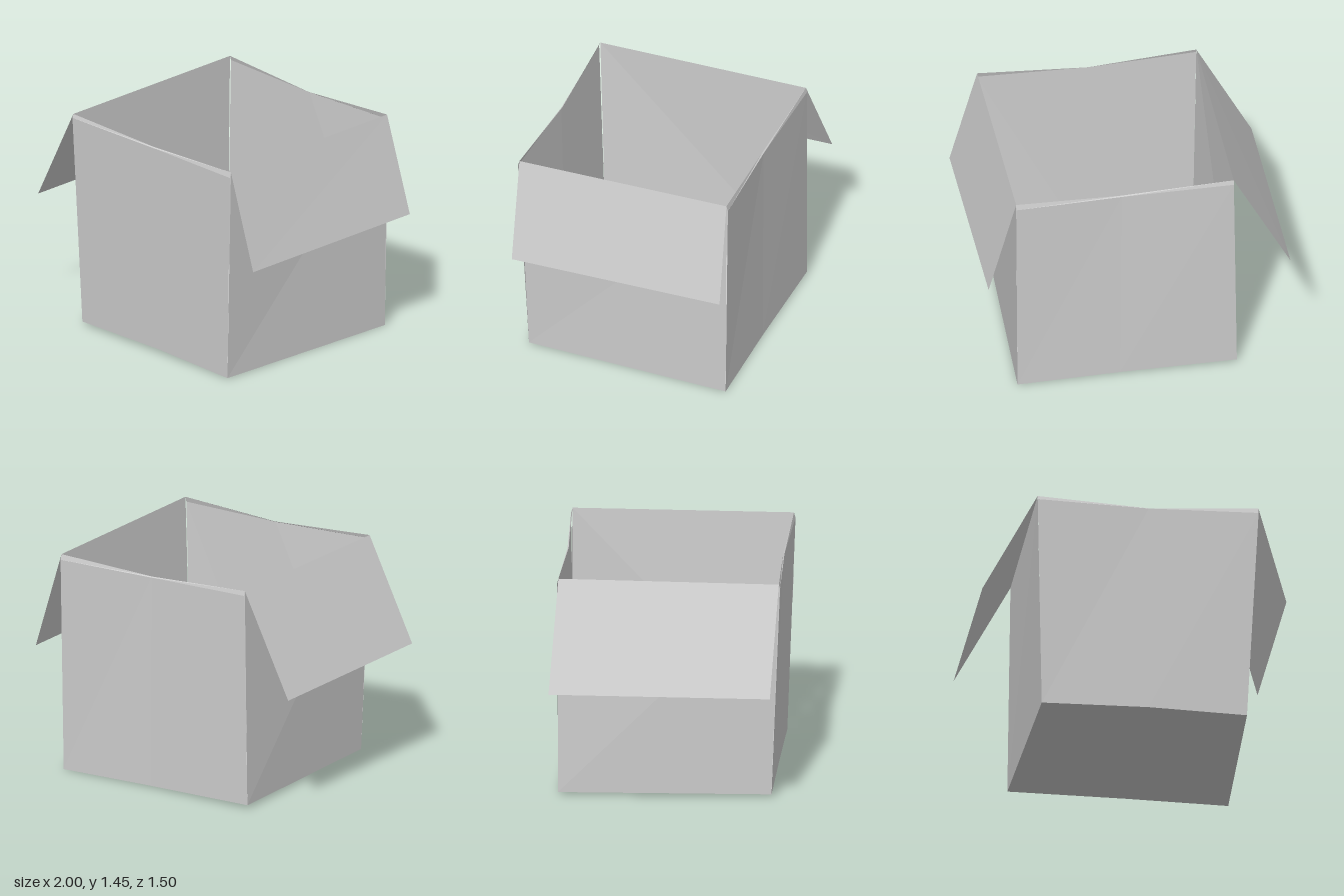
import * as THREE from 'three';

const cardboard = new THREE.MeshStandardMaterial({ color: 0xcccccc, side: THREE.DoubleSide, flatShading: true });
cardboard.name = 'grey cardboard';

// A folded sheet: rows run bottom to top, points left to right seen from outside
function sheet(name, rows) {
  const pos = [];
  for (let r = 0; r < rows.length - 1; r++) {
    for (let c = 0; c < rows[r].length - 1; c++) {
      const a = rows[r][c], b = rows[r][c + 1], d = rows[r + 1][c], e = rows[r + 1][c + 1];
      pos.push(...a, ...b, ...e, ...a, ...e, ...d);
    }
  }
  const geometry = new THREE.BufferGeometry();
  geometry.setAttribute('position', new THREE.Float32BufferAttribute(pos, 3));
  geometry.computeVertexNormals();
  const mesh = new THREE.Mesh(geometry, cardboard);
  mesh.name = name;
  return mesh;
}

export function createModel() {
  const group = new THREE.Group();
  group.name = 'openBox';

  // Outlines in order of increasing x, with a crease halfway
  const frontBase = [[-0.56, 0.02, 0.69], [0.12, 0.025, 0.67], [0.75, 0.003, 0.65]];
  const backBase = [[-0.66, 0.02, -0.66], [0.09, 0.01, -0.68], [0.75, 0, -0.71]];
  const frontFold = [[-0.59, 1.415, 0.748], [0.12, 1.4, 0.7], [0.82, 1.4, 0.695]];
  const backFold = [[-0.64, 1.415, -0.668], [0.08, 1.4, -0.68], [0.76, 1.4, -0.73]];
  const frontRim = [[-0.59, 1.44, 0.74], [0.12, 1.405, 0.692], [0.82, 1.435, 0.685]];
  const backRim = [[-0.64, 1.445, -0.66], [0.08, 1.405, -0.672], [0.76, 1.435, -0.72]];
  const flip = (row) => [...row].reverse();

  // Floor and walls
  group.add(sheet('floor', [backBase, frontBase]));
  group.add(sheet('frontWall', [frontBase, frontFold]));
  group.add(sheet('backWall', [flip(backBase), flip(backFold)]));
  group.add(sheet('rightWall', [[backBase[0], frontBase[0]], [backRim[0], frontRim[0]]]));
  group.add(sheet('leftWall', [[frontBase[2], backBase[2]], [frontRim[2], backRim[2]]]));

  // Narrow folded lips on the front and back walls
  group.add(sheet('frontLip', [frontFold, frontRim]));
  group.add(sheet('backLip', [flip(backFold), flip(backRim)]));

  // Side flaps hanging outward
  group.add(sheet('rightFlap', [[[-1, 0.79, -0.685], [-0.94, 0.79, 0.72]], [backRim[0], frontRim[0]]]));
  group.add(sheet('leftFlap', [[[1, 0.8, 0.66], [0.94, 0.8, -0.75]], [frontRim[2], backRim[2]]]));
  return group;
}
